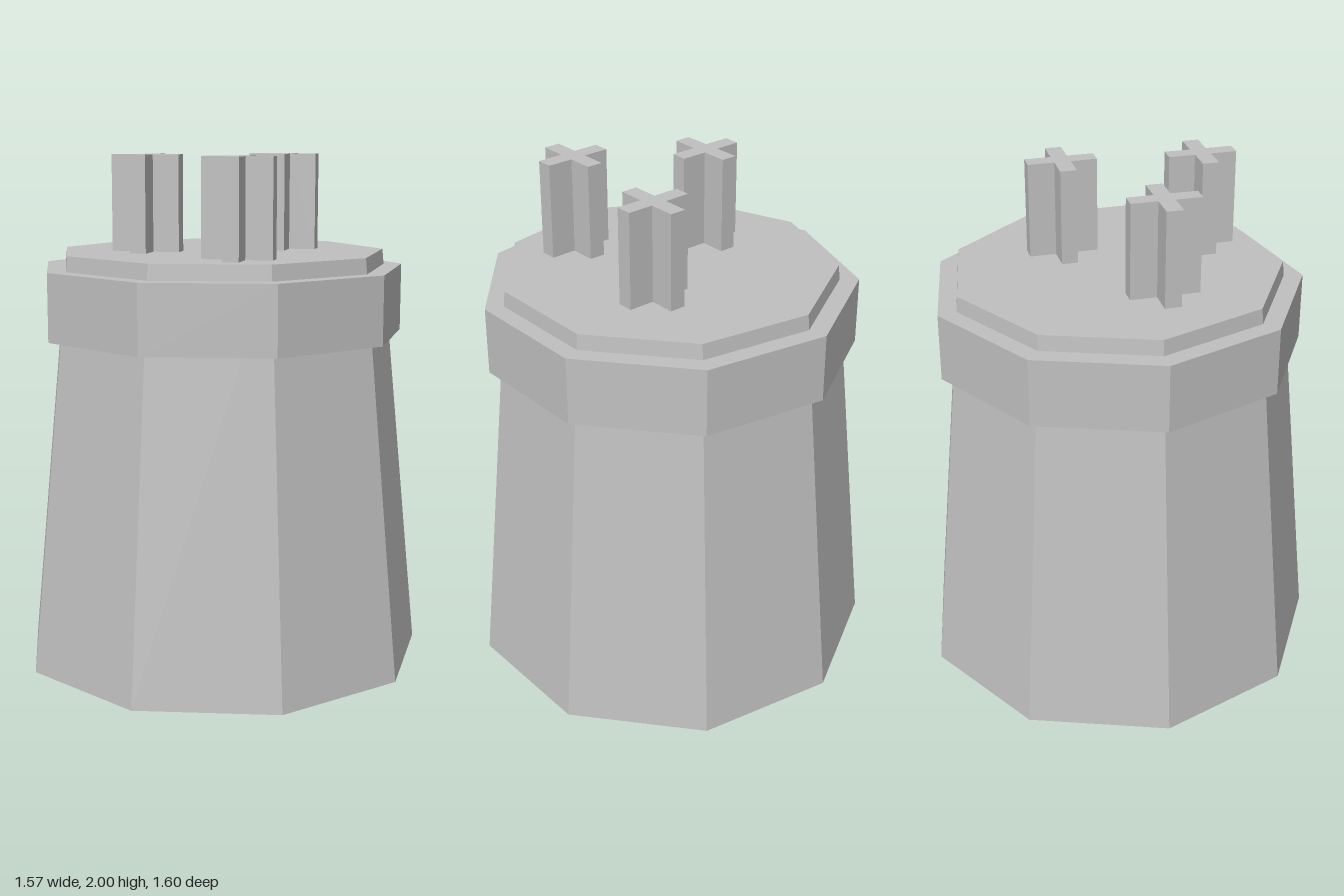
import * as THREE from 'three';

const SIDES = 9;
const CENTER_X = 0.0245;

export function createModel() {
  const model = new THREE.Group();
  const grey = new THREE.MeshStandardMaterial({ color: 0xc0c0c0, flatShading: true });
  grey.name = 'grey';

  const add = (name, geometry, x, y, z) => {
    const mesh = new THREE.Mesh(geometry, grey);
    mesh.name = name;
    mesh.position.set(x, y, z);
    model.add(mesh);
  };

  // Nine-sided drum with a corner pointing to -x
  const drum = (rTop, rBottom, height) =>
    new THREE.CylinderGeometry(rTop, rBottom, height, SIDES, 1, false, -Math.PI / 2);

  // Tapered body, its top rising just above the collar
  add('body', drum(0.647, 0.81, 1.625), CENTER_X, 0.8125, 0);

  // Straight collar around the upper body
  add('collar', drum(0.727, 0.727, 0.265), CENTER_X - 0.002, 1.4325, 0);

  // Plus-shaped pegs
  const a = 0.135, b = 0.032;
  const plus = new THREE.Shape([
    [b, -a], [b, -b], [a, -b], [a, b], [b, b], [b, a],
    [-b, a], [-b, b], [-a, b], [-a, -b], [-b, -b], [-b, -a],
  ].map(([x, y]) => new THREE.Vector2(x, y)));
  const peg = new THREE.ExtrudeGeometry(plus, { depth: 0.375, bevelEnabled: false });
  peg.rotateX(-Math.PI / 2);
  [[0.238, -0.165], [-0.247, 0.106], [0.184, 0.377]].forEach(([x, z], i) =>
    add(`peg${i + 1}`, peg, x, 1.625, z));

  return model;
}
